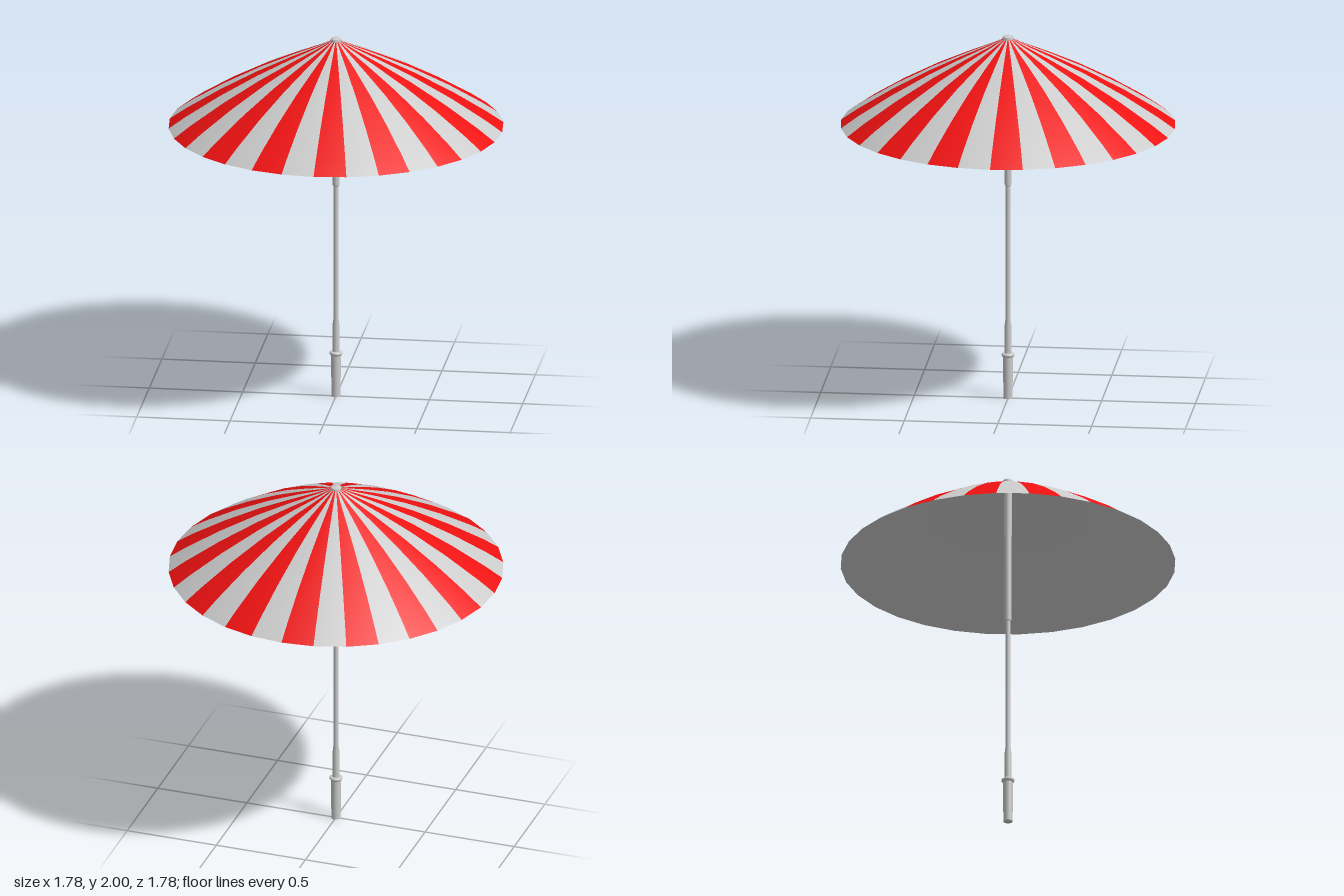
import * as THREE from 'three';

const SEGMENTS = 32;
const grey = new THREE.MeshStandardMaterial({ color: 0xcccccc });
const red = new THREE.MeshStandardMaterial({ color: 0xee1111 });

const toPoints = (list) => list.map(([r, y]) => new THREE.Vector2(r, y));

function addLathe(group, name, profile, sides) {
  const mesh = new THREE.Mesh(new THREE.LatheGeometry(toPoints(profile), sides), grey);
  mesh.name = name;
  group.add(mesh);
}

// Keeps every second radial panel of a lathe, so the stripes share smooth normals
function stripeGeometry(lathe, bands, parity) {
  const index = lathe.index.array;
  const perPanel = bands * 6;
  const kept = [];
  for (let s = parity; s < SEGMENTS; s += 2) {
    kept.push(...index.slice(s * perPanel, (s + 1) * perPanel));
  }
  const geometry = lathe.clone();
  geometry.setIndex(kept);
  return geometry;
}

export function createModel() {
  const model = new THREE.Group();
  model.name = 'parasol';

  // Striped canopy, from rim to crown
  const canopy = new THREE.Group();
  canopy.name = 'canopy';
  model.add(canopy);
  const outer = [[0.89, 1.51], [0.8, 1.573], [0.62, 1.685], [0.42, 1.795],
    [0.24, 1.882], [0.1, 1.945], [0.02, 1.985]];
  const shell = new THREE.LatheGeometry(toPoints(outer), SEGMENTS);
  [['redStripes', red], ['greyStripes', grey]].forEach(([name, material], parity) => {
    const mesh = new THREE.Mesh(stripeGeometry(shell, outer.length - 1, parity), material);
    mesh.name = name;
    canopy.add(mesh);
  });

  // Lining just beneath the canopy, meeting it at the rim
  const lining = outer.map(([r, y], i) => [r, i ? y - 0.008 : y]).reverse();
  addLathe(canopy, 'canopyLining', lining, SEGMENTS);

  // Pole with thicker sleeves at both ends
  addLathe(model, 'pole', [[0.02, 0.24], [0.018, 0.4], [0.013, 0.44], [0.013, 1.17]], 16);
  addLathe(model, 'upperSleeve', [[0.013, 1.17], [0.019, 1.18], [0.019, 1.5], [0.022, 1.98]], 16);

  // Grip with a rounded collar
  addLathe(model, 'grip', [[0, 0], [0.025, 0], [0.025, 0], [0.026, 0.235]], 20);
  addLathe(model, 'gripCollar', [[0.02, 0.228], [0.03, 0.23], [0.035, 0.238],
    [0.034, 0.245], [0.028, 0.25], [0, 0.25]], 20);

  // Cap on the crown
  addLathe(model, 'crownCap', [[0.028, 1.965], [0.029, 1.99], [0.025, 1.997], [0, 2]], 20);

  return model;
}
